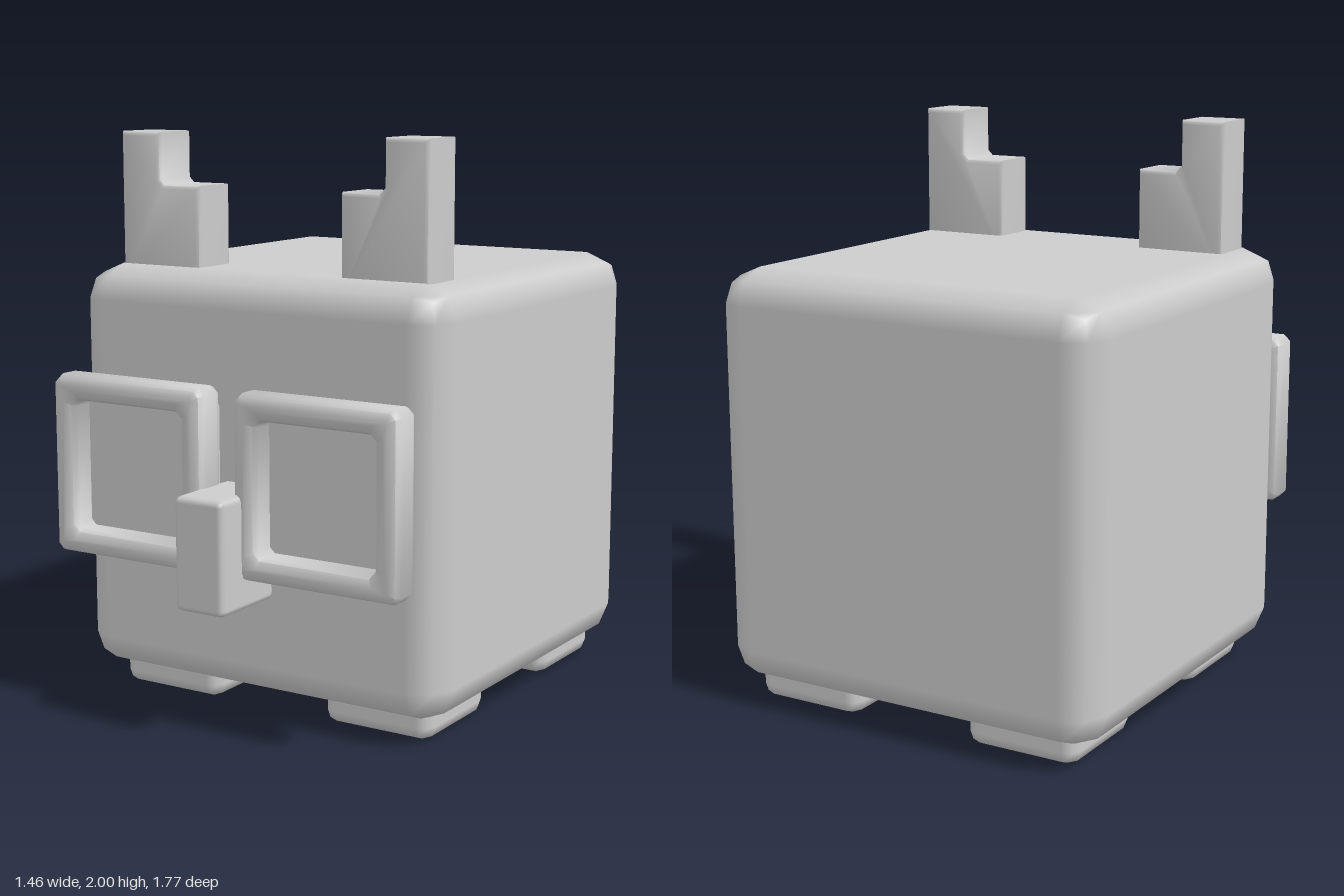
import * as THREE from 'three';
import { toCreasedNormals } from 'three/addons/utils/BufferGeometryUtils.js';
import { RoundedBoxGeometry } from 'three/addons/geometries/RoundedBoxGeometry.js';

const grey = new THREE.MeshStandardMaterial({ color: 0xcccccc });
grey.name = 'light grey';

// Bevelled box given by its minimum and maximum corners
function softBox(name, min, max, radius) {
  const size = max.map((v, i) => v - min[i]);
  const mesh = new THREE.Mesh(new RoundedBoxGeometry(...size, 1, radius), grey);
  mesh.name = name;
  mesh.position.set(...max.map((v, i) => (v + min[i]) / 2));
  return mesh;
}

// Bevelled extrusion of an x-y outline between two z values
function softPlate(name, shape, z0, z1, bevel) {
  const geometry = new THREE.ExtrudeGeometry(shape, {
    depth: z1 - z0 - 2 * bevel,
    bevelSize: bevel, bevelThickness: bevel, bevelOffset: -bevel, bevelSegments: 2,
  });
  geometry.translate(0, 0, z0 + bevel);
  const mesh = new THREE.Mesh(toCreasedNormals(geometry, 0.9), grey);
  mesh.name = name;
  return mesh;
}

// Square outline with cut corners
function cutSquare(h, c) {
  return [[h - c, -h], [h, c - h], [h, h - c], [h - c, h],
    [c - h, h], [-h, h - c], [-h, c - h], [c - h, -h]].map(p => new THREE.Vector2(...p));
}

export function createModel() {
  const model = new THREE.Group();
  model.name = 'cubeCreature';

  model.add(softBox('body', [-0.73, 0.085, -0.885], [0.73, 1.54, 0.575], 0.12));
  model.add(softBox('nose', [-0.085, 0.455, 0.585], [0.11, 0.845, 0.885], 0.022));

  for (const side of [-1, 1]) {
    const label = side > 0 ? 'left' : 'right';

    // Feet
    const fx = 0.01 + side * 0.428;
    for (const [end, z] of [['Front', 0.268], ['Back', -0.588]]) {
      model.add(softBox(`${label}${end}Foot`, [fx - 0.208, 0.005, z - 0.208], [fx + 0.208, 0.14, z + 0.208], 0.05));
    }

    // Eye block and its square frame
    const ex = 0.006 + side * 0.376;
    model.add(softBox(`${label}Eye`, [ex - 0.253, 0.615, 0.54], [ex + 0.253, 1.12, 0.68], 0.03));
    const outline = new THREE.Shape(cutSquare(0.313, 0.025));
    outline.holes.push(new THREE.Path(cutSquare(0.225, 0.02)));
    const frame = softPlate(`${label}EyeFrame`, outline, 0.64, 0.775, 0.035);
    frame.position.set(ex, 0.868, 0);
    model.add(frame);

    // Stepped ear, tall on the outer side
    const steps = [[0.285, 1.48], [0.615, 1.48], [0.615, 2], [0.45, 2],
      [0.45, 1.84], [0.43, 1.82], [0.285, 1.82]];
    const ear = new THREE.Shape(steps.map(([x, y]) => new THREE.Vector2(side * x, y)));
    const mesh = softPlate(`${label}Ear`, ear, 0.27, 0.455, 0.015);
    mesh.position.x = 0.005;
    model.add(mesh);
  }
  return model;
}
